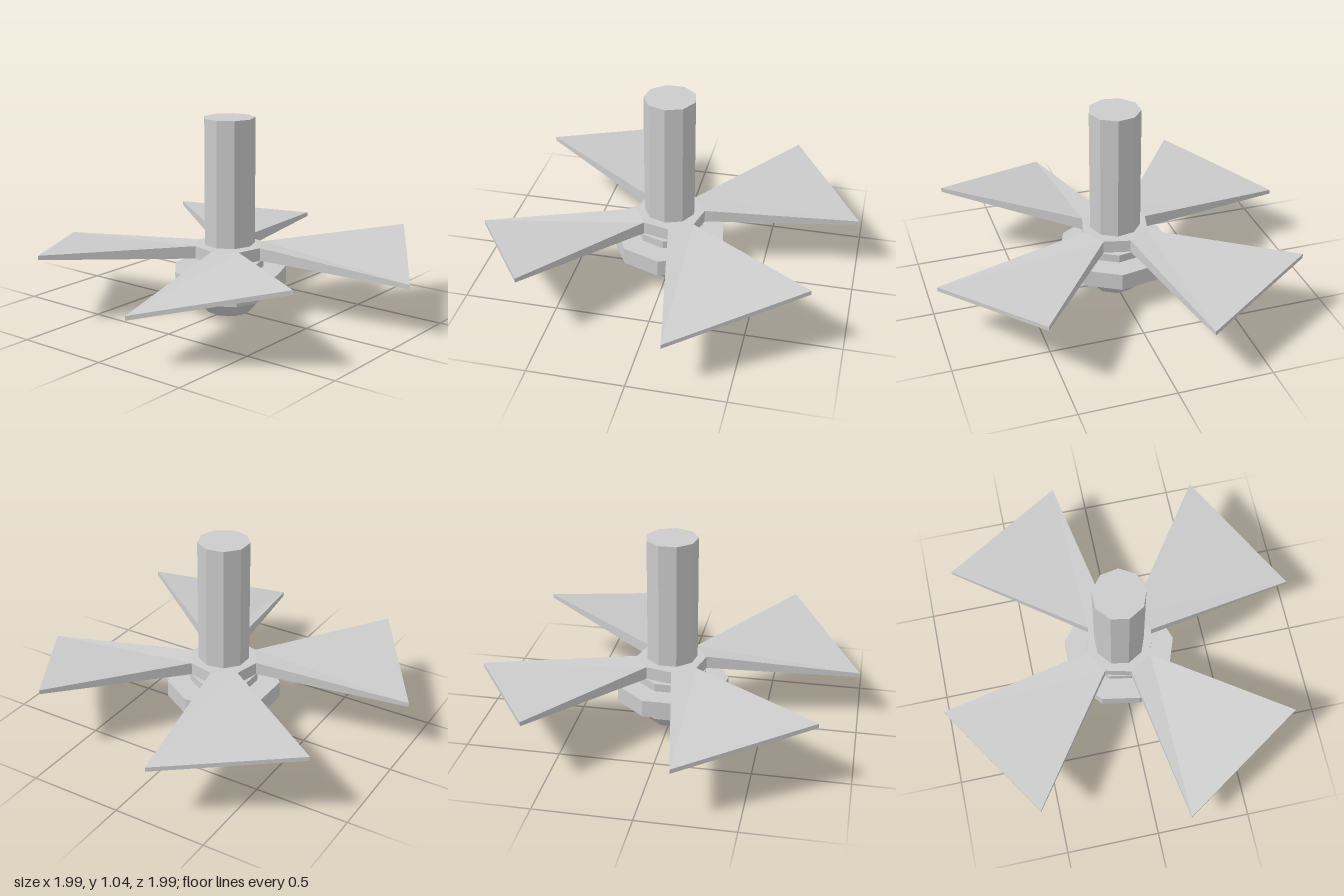
import * as THREE from 'three';

const DEG = Math.PI / 180;

export function createModel() {
  const model = new THREE.Group();
  model.name = 'propeller';
  const material = new THREE.MeshStandardMaterial({ color: 0xcccccc, flatShading: true });

  function add(name, geometry) {
    const mesh = new THREE.Mesh(geometry, material);
    mesh.name = name;
    model.add(mesh);
  }

  // Upright prism with a corner at the given angle
  function prism(name, rTop, rBottom, y0, y1, sides = 9, start = 90) {
    const g = new THREE.CylinderGeometry(rTop, rBottom, y1 - y0, sides, 1, false, start * DEG);
    g.translate(0, (y0 + y1) / 2, 0);
    add(name, g);
  }

  // Shaft, hub, and nut with its collar
  prism('shaft', 0.137, 0.137, 0.373, 1.045);
  prism('bladeHub', 0.185, 0.185, 0.298, 0.366, 8, 54);
  prism('nut', 0.183, 0.183, 0.07, 0.283);
  prism('nutTaper', 0.183, 0.12, 0, 0.07);
  prism('collar', 0.305, 0.305, 0.148, 0.24);

  // Pitched blades: a box stretched from a hub side out to a wide thin edge
  function blade(name, turn, highTop, lowTop) {
    const g = new THREE.BoxGeometry(1, 1, 1);
    const p = g.attributes.position;
    for (let i = 0; i < p.count; i++) {
      const leading = p.getX(i) > 0, upper = p.getY(i) > 0, outer = p.getZ(i) > 0;
      const angle = (turn + (outer ? (leading ? 35.4 : 79.9) : (leading ? 36 : 81))) * DEG;
      const radius = outer ? 1.012 : 0.185;
      let y = upper ? 0.366 : 0.298;
      if (outer) y = (leading ? highTop : lowTop) - (upper ? 0 : 0.023);
      p.setXYZ(i, radius * Math.cos(angle), y, radius * Math.sin(angle));
    }
    g.computeVertexNormals();
    add(name, g);
  }
  blade('frontBlade', 0, 0.416, 0.267);
  blade('rightBlade', 90, 0.38, 0.305);
  blade('backBlade', 180, 0.372, 0.32);
  blade('leftBlade', 270, 0.402, 0.285);

  model.children.forEach((m) => { m.position.x = -0.004; });
  return model;
}
